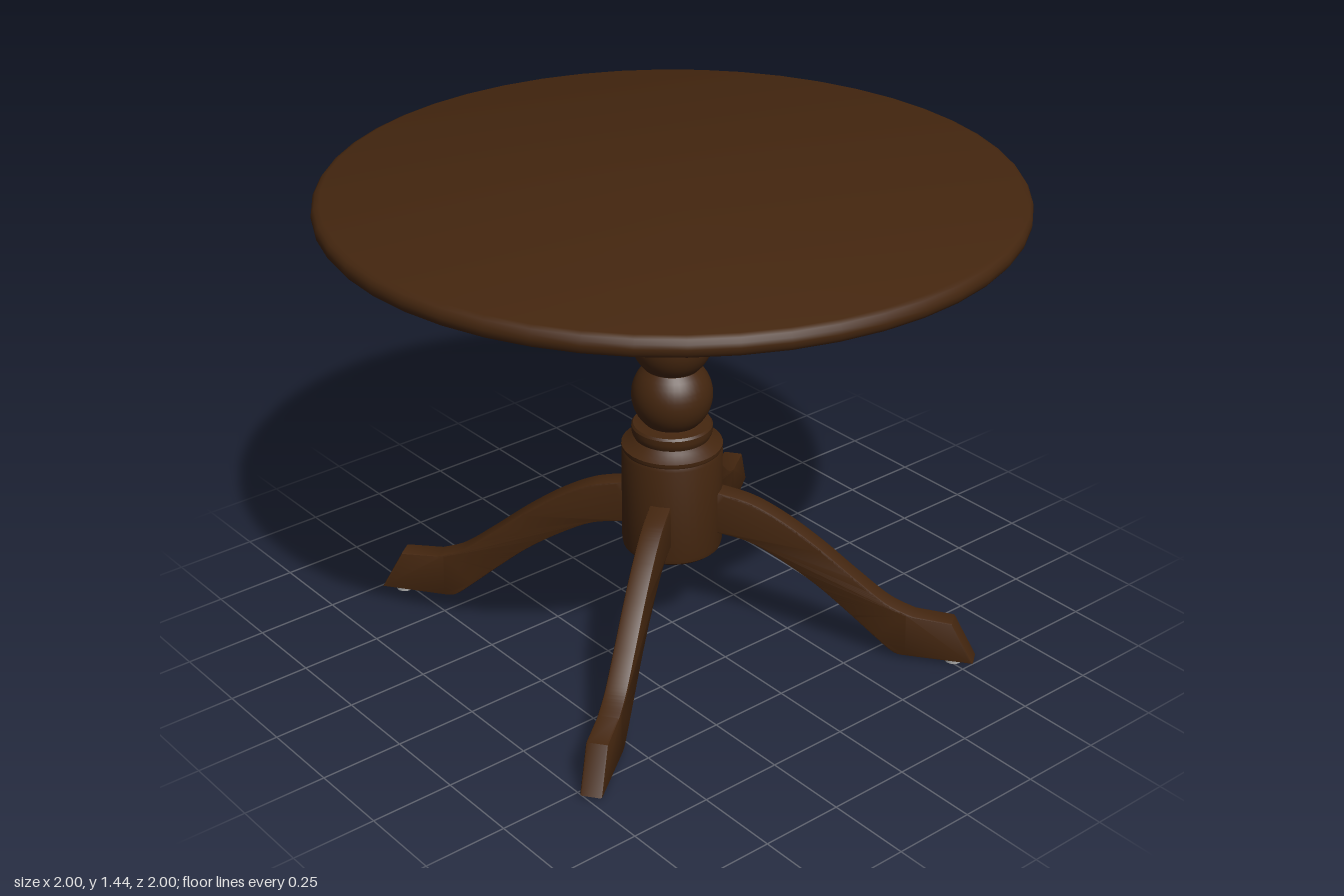
import * as THREE from 'three';
import { toCreasedNormals } from 'three/addons/utils/BufferGeometryUtils.js';

const wood = new THREE.MeshStandardMaterial({ color: 0x44260f });
wood.name = 'dark wood';
const metal = new THREE.MeshStandardMaterial({ color: 0x77756f });
metal.name = 'screw metal';
const pad = new THREE.MeshStandardMaterial({ color: 0xa8a8a8 });
pad.name = 'foot pad grey';

function addMesh(parent, name, geometry, material) {
  const mesh = new THREE.Mesh(geometry, material);
  mesh.name = name;
  parent.add(mesh);
  return mesh;
}

// Turned part from [radius, height] pairs listed bottom to top
function turned(profile, segments) {
  const points = profile.map(([r, y]) => new THREE.Vector2(r, y));
  return toCreasedNormals(new THREE.LatheGeometry(points, segments), 0.6);
}

// Points of a ball cut off flat at both ends
function ball(centreY, radius, halfHeight) {
  const reach = Math.asin(halfHeight / radius);
  return Array.from({ length: 11 }, (_, i) => {
    const a = reach * (i / 5 - 1);
    return [radius * Math.cos(a), centreY + radius * Math.sin(a)];
  });
}

// S-curved leg outline, extruded and centred across its width
function legGeometry() {
  const inset = 0.006;
  const pts = list => list.map(([r, y]) => new THREE.Vector2(r, y));
  const shape = new THREE.Shape();
  shape.moveTo(0.08, 0.36);
  shape.lineTo(0.14, 0.36);
  shape.splineThru(pts([[0.24, 0.342], [0.34, 0.293], [0.45, 0.222], [0.55, 0.14], [0.63, 0.07], [0.69, 0.022], [0.73, 0.016]]));
  shape.lineTo(0.92, 0.016);
  shape.lineTo(0.855, 0.135);
  shape.lineTo(0.74, 0.142);
  shape.splineThru(pts([[0.66, 0.175], [0.56, 0.25], [0.45, 0.338], [0.34, 0.413], [0.24, 0.462], [0.14, 0.484]]));
  shape.lineTo(0.08, 0.484);
  const width = 0.064;
  const geometry = new THREE.ExtrudeGeometry(shape, {
    depth: width - 2 * inset, curveSegments: 20,
    bevelEnabled: true, bevelSize: inset, bevelThickness: inset, bevelSegments: 2,
  });
  geometry.translate(0, 0, -width / 2 + inset);
  return toCreasedNormals(geometry, 0.6);
}

export function createModel() {
  const model = new THREE.Group();
  model.name = 'pedestalTable';

  // Round top with a softened rim
  addMesh(model, 'tableTop', turned([
    [0, 1.38], [0.975, 1.38], [0.99, 1.386], [0.998, 1.397], [1, 1.41],
    [0.998, 1.423], [0.99, 1.434], [0.975, 1.44], [0, 1.44],
  ], 48), wood);

  // Mounting disc under the top
  const plate = addMesh(model, 'mountingPlate', new THREE.CylinderGeometry(0.306, 0.306, 0.037, 48), wood);
  plate.position.y = 1.3635;

  // Turned column: base block, collars, two balls and upper block
  addMesh(model, 'column', turned([
    [0, 0.288], [0.138, 0.288], [0.147, 0.296], [0.15, 0.31], [0.15, 0.605],
    [0.147, 0.615], [0.15, 0.622], [0.15, 0.63], [0.135, 0.638], [0.122, 0.648],
    [0.113, 0.655], [0.118, 0.665], [0.12, 0.675], [0.12, 0.69], [0.115, 0.697], [0.09, 0.699],
    ...ball(0.789, 0.12, 0.088), ...ball(0.966, 0.12, 0.088),
    [0.09, 1.058], [0.117, 1.06], [0.12, 1.085], [0.125, 1.105], [0.132, 1.115],
    [0.144, 1.118], [0.15, 1.128], [0.15, 1.14], [0.16, 1.145], [0.165, 1.158], [0.162, 1.172],
    [0.155, 1.18], [0.155, 1.335], [0.15, 1.345], [0, 1.345],
  ], 40), wood);

  // Four screws in the mounting disc
  const screwHead = new THREE.CylinderGeometry(0.024, 0.02, 0.008, 16);
  const screwBar = new THREE.BoxGeometry(0.062, 0.007, 0.014);
  for (let i = 0; i < 4; i++) {
    const a = 0.56 + i * Math.PI / 2;
    const screw = new THREE.Group();
    screw.name = 'screw';
    screw.position.set(0.225 * Math.cos(a), 1.34, -0.225 * Math.sin(a));
    screw.rotation.y = a;
    addMesh(screw, 'screwHead', screwHead, metal);
    for (const turn of [0, Math.PI / 2]) {
      const bar = addMesh(screw, 'screwCross', screwBar, metal);
      bar.rotation.y = turn;
      bar.position.y = -0.002;
    }
    model.add(screw);
  }

  // Four legs, each with a pad under the toe
  const leg = legGeometry();
  const footPad = new THREE.CylinderGeometry(0.026, 0.026, 0.011, 20);
  for (let i = 0; i < 4; i++) {
    const group = new THREE.Group();
    group.name = 'leg';
    group.rotation.y = THREE.MathUtils.degToRad(-53.4 + i * 90);
    addMesh(group, 'curvedLeg', leg, wood);
    addMesh(group, 'footPad', footPad, pad).position.set(0.865, 0.0055, 0);
    model.add(group);
  }
  return model;
}
